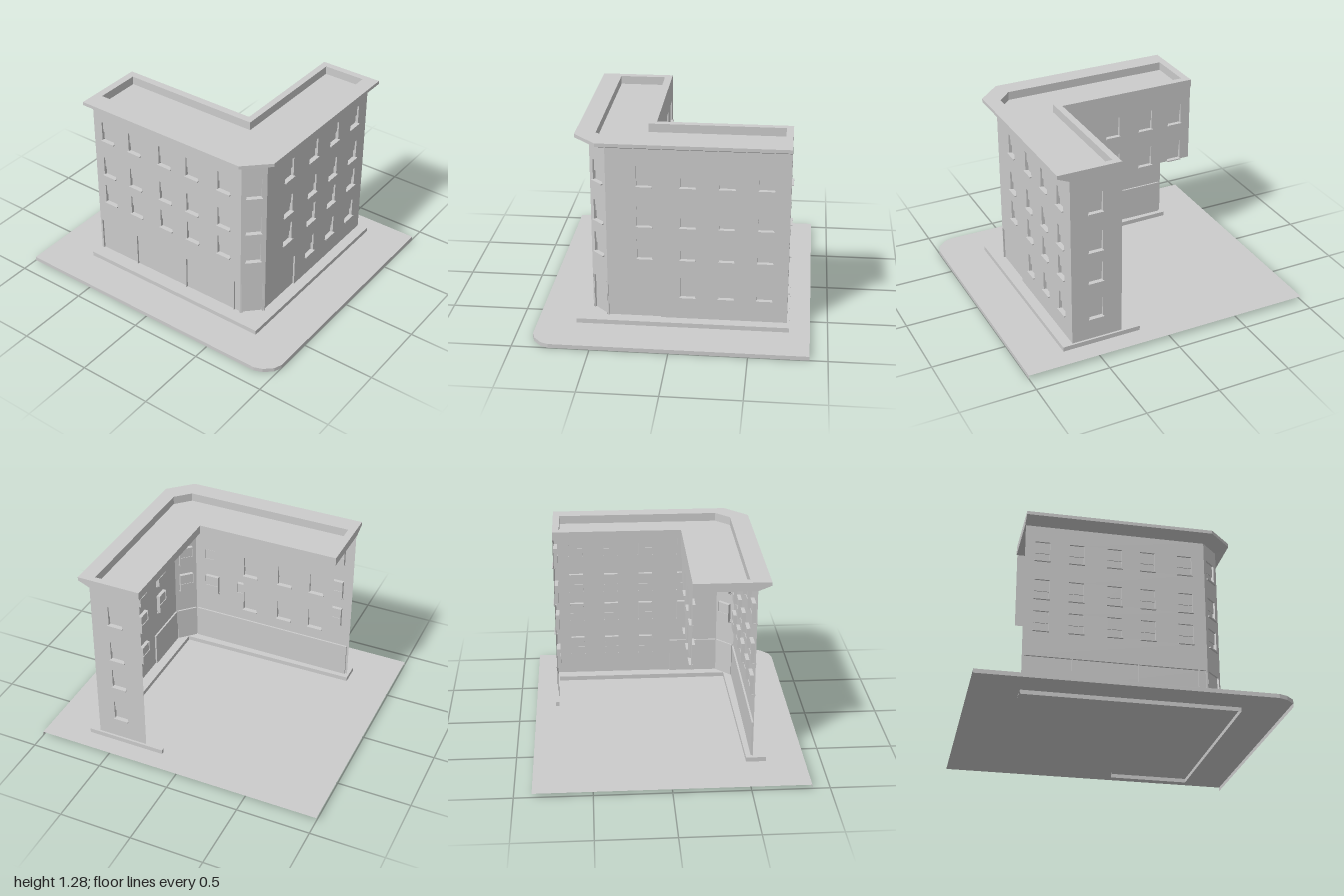
import * as THREE from 'three';

const mat = new THREE.MeshStandardMaterial({ color: 0xcccccc, flatShading: true, side: THREE.DoubleSide });

function add(parent, name, geo, x = 0, y = 0, z = 0) {
  const m = new THREE.Mesh(geo, mat);
  m.name = name;
  m.position.set(x, y, z);
  parent.add(m);
  return m;
}

// Quads between successive rows of points, each row a list of [x, y, z]
function loft(rows, closed) {
  const pos = [];
  for (let i = 0; i < rows.length - 1; i++) {
    const n = rows[i].length;
    for (let j = 0; j < (closed ? n : n - 1); j++) {
      const k = (j + 1) % n;
      const [a, b, c, d] = [rows[i][j], rows[i][k], rows[i + 1][k], rows[i + 1][j]];
      pos.push(...a, ...b, ...c, ...a, ...c, ...d);
    }
  }
  const g = new THREE.BufferGeometry();
  g.setAttribute('position', new THREE.Float32BufferAttribute(pos, 3));
  g.computeVertexNormals();
  return g;
}

// [x, z] outline raised to height y
const at = (path, y) => path.map(([x, z]) => [x, y, z]);

// Horizontal face from an [x, z] outline
function flat(path) {
  return new THREE.ShapeGeometry(new THREE.Shape(path.map(([x, z]) => new THREE.Vector2(x, -z)))).rotateX(-Math.PI / 2);
}

const rect = (x0, y0, x1, y1) => [[x0, y0], [x1, y0], [x1, y1], [x0, y1]];

// Four sides of a recess running back from the wall face
const reveal = (r, depth) => loft([r.map(([x, y]) => [x, y, 0]), r.map(([x, y]) => [x, y, -depth])], true);

const W = 0.097, H = 0.14;

function addWindow(wall, u, y) {
  const g = new THREE.Group();
  g.name = 'window';
  g.position.set(u, y, 0);
  wall.add(g);
  add(g, 'reveal', reveal(rect(-W / 2, 0, W / 2, H), 0.025));
  add(g, 'upperSash', new THREE.BoxGeometry(W, H * 0.56, 0.006), 0, H * 0.72, -0.015);
  add(g, 'lowerSash', new THREE.BoxGeometry(W, H * 0.46, 0.004), 0, H * 0.23, -0.023);
  add(g, 'sill', new THREE.BoxGeometry(W + 0.008, 0.008, 0.026), 0, -0.002, 0);
}

// Recessed shop front with posts at the given positions
function addShopFront(wall, u0, u1, posts) {
  const y0 = 0.058, y1 = 0.3, d = 0.012;
  add(wall, 'shopReveal', reveal(rect(u0, y0, u1, y1), d));
  add(wall, 'shopPanel', new THREE.PlaneGeometry(u1 - u0, y1 - y0), (u0 + u1) / 2, (y0 + y1) / 2, -d);
  for (const u of posts) add(wall, 'shopPost', new THREE.BoxGeometry(0.008, y1 - y0, d), u, (y0 + y1) / 2, -d / 2);
}

// Wall from a to b; local x runs along it and local z faces outward
function addWall(parent, name, a, b, { outline, top = 1.23, windows = [], shop }) {
  const dx = b[0] - a[0], dz = b[1] - a[1], len = Math.hypot(dx, dz);
  const g = new THREE.Group();
  g.name = name;
  g.position.set(a[0], 0, a[1]);
  g.rotation.y = Math.atan2(-dz, dx);
  parent.add(g);
  const vec = (p) => p.map(([x, y]) => new THREE.Vector2(x, y));
  const shape = new THREE.Shape(vec(outline || rect(0, 0.04, len, top)));
  const holes = windows.map(([u, y]) => rect(u - W / 2, y, u + W / 2, y + H));
  if (shop) holes.push(rect(shop[0], 0.058, shop[1], 0.3));
  for (const h of holes) shape.holes.push(new THREE.Path(vec(h).reverse()));
  add(g, name + 'Face', new THREE.ShapeGeometry(shape));
  for (const [u, y] of windows) addWindow(g, u, y);
  if (shop) addShopFront(g, ...shop);
}

const grid = (us, ys) => us.flatMap((u) => ys.map((y) => [u, y]));

export function createModel() {
  const model = new THREE.Group();
  model.name = 'cornerBuilding';

  // Pavement: top sheet with a kerb on the two street sides
  const kerb = [[-0.885, -1], [-0.885, 0.87], [-0.865, 0.925], [-0.815, 0.98], [-0.765, 1], [0.885, 1]];
  add(model, 'pavement', flat([...kerb, [0.885, -1]]), 0, 0.027, 0);
  add(model, 'kerb', loft([at(kerb, 0), at(kerb, 0.027)], false));

  // Plinth step around the street sides
  const outer = [[-0.63, -0.69], [-0.63, 0.705], [0.75, 0.705], [0.75, 0.16]];
  const inner = [[-0.5, -0.69], [-0.48, 0.56], [0.725, 0.56], [0.725, 0.16]];
  add(model, 'plinth', loft([at(outer, 0), at(outer, 0.058), at(inner, 0.058), at(inner, 0.027)], false));
  add(model, 'plinthEnd', new THREE.BoxGeometry(0.13, 0.035, 0.004), -0.565, 0.04, -0.688);
  add(model, 'plinthEnd', new THREE.BoxGeometry(0.025, 0.035, 0.004), 0.7375, 0.04, 0.162);

  // Street walls
  const upper = [0.475, 0.7, 0.975], all = [0.208, ...upper];
  addWall(model, 'frontWall', [-0.43, 0.635], [0.735, 0.635], {
    windows: [...grid([0.243], upper), ...grid([0.52, 0.768, 1.015], all)],
    shop: [0.005, 0.345, []],
  });
  addWall(model, 'cornerWall', [-0.545, 0.52], [-0.43, 0.635], {
    windows: grid([0.0813], upper), shop: [0.008, 0.155, [0.014, 0.149]],
  });
  addWall(model, 'sideWall', [-0.545, -0.675], [-0.545, 0.52], {
    windows: grid([0.115, 0.34, 0.59, 0.81, 1.06], upper),
    shop: [0.015, 1.185, [0.32, 0.745, 1.14]],
  });
  addWall(model, 'endWall', [0.735, 0.635], [0.735, 0.285], { top: 1.265, windows: grid([0.17], all) });

  // Courtyard wall, with a stepped lower edge
  addWall(model, 'courtyardWall', [-0.14, 0.285], [-0.14, -0.675], {
    outline: [[0, 1.11], [0.105, 1.11], [0.105, 0.97], [0.2, 0.97], [0.2, 0.935], [0.32, 0.935],
      [0.32, 0.695], [0.96, 0.695], [0.96, 1.265], [0, 1.265]],
    windows: grid([0.37, 0.617, 0.842], [0.7, 0.975]),
  });

  // Roof: sunken deck, parapet and sloping cornice over the streets
  const deck = [[-0.5, -0.63], [-0.19, -0.63], [-0.19, 0.33], [0.69, 0.33], [0.69, 0.615], [-0.405, 0.615], [-0.5, 0.52]];
  const eaves = [[-0.63, -0.68], [-0.14, -0.68], [-0.14, 0.285], [0.735, 0.285], [0.735, 0.715], [-0.48, 0.715], [-0.63, 0.56]];
  const walls = [[-0.545, -0.68], [-0.14, -0.68], [-0.14, 0.285], [0.735, 0.285], [0.735, 0.635], [-0.43, 0.635], [-0.545, 0.52]];
  add(model, 'cornice', loft([at(deck, 1.225), at(deck, 1.285), at(eaves, 1.285), at(eaves, 1.262), at(walls, 1.228)], true));
  add(model, 'roofDeck', flat(walls), 0, 1.228, 0);
  return model;
}
